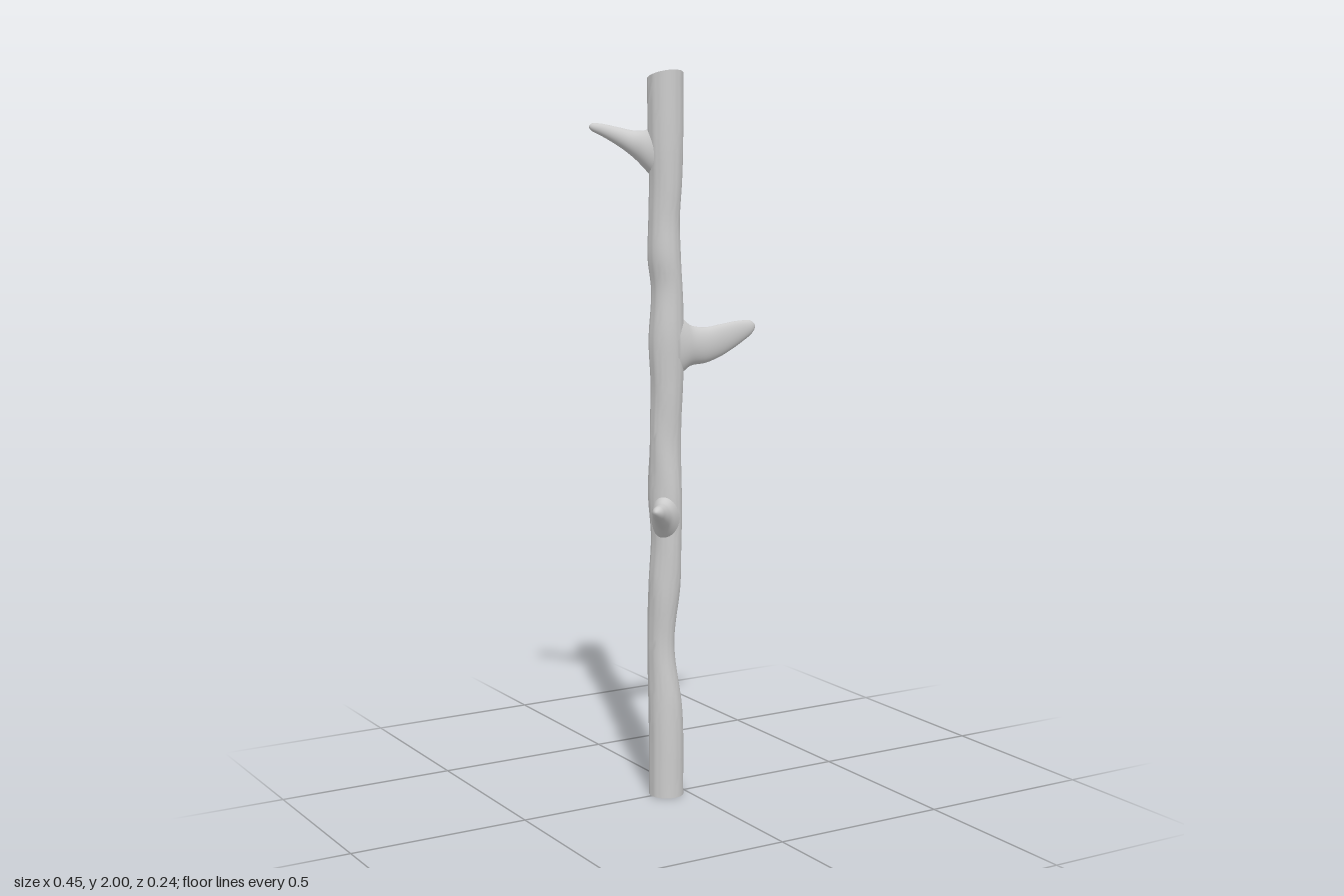
import * as THREE from 'three';
import { toCreasedNormals } from 'three/addons/utils/BufferGeometryUtils.js';

const SIDES = 40;
const material = new THREE.MeshStandardMaterial({ color: 0xcccccc });

// Smooth interpolation through rows of [key, ...values]
function smoothRows(rows) {
  const size = rows[0].length - 1;
  const keys = rows.map((r) => r[0]);
  const values = rows.flatMap((r) => r.slice(1));
  const curve = new THREE.CubicInterpolant(keys, values, size, new Float32Array(size));
  return (k) => Array.from(curve.evaluate(k));
}

// Closed, capped skin over rings; ringPoint(i, angle) gives a Vector3
function loft(steps, ringPoint) {
  const pos = [], index = [];
  const centres = [];
  for (let i = 0; i <= steps; i++) {
    const centre = new THREE.Vector3();
    for (let j = 0; j < SIDES; j++) {
      const p = ringPoint(i, (j / SIDES) * Math.PI * 2);
      pos.push(p.x, p.y, p.z);
      centre.addScaledVector(p, 1 / SIDES);
    }
    centres.push(centre);
  }
  const first = pos.length / 3, last = first + 1;
  pos.push(...centres[0].toArray(), ...centres[steps].toArray());
  for (let j = 0; j < SIDES; j++) {
    const k = (j + 1) % SIDES;
    for (let i = 0; i < steps; i++) {
      const a = i * SIDES, b = a + SIDES;
      index.push(a + j, a + k, b + k, a + j, b + k, b + j);
    }
    index.push(first, k, j, last, steps * SIDES + j, steps * SIDES + k);
  }
  const geometry = new THREE.BufferGeometry();
  geometry.setAttribute('position', new THREE.Float32BufferAttribute(pos, 3));
  geometry.setIndex(index);
  geometry.computeVertexNormals();
  return geometry;
}

// Trunk: ellipses fitted between left, right, back and front edges, slanted cut on top
function trunkGeometry() {
  const edges = smoothRows([
    // y, xMin, xMax, zMin, zMax
    [0, -0.105, -0.01, -0.049, 0.05],
    [0.25, -0.104, -0.012, -0.053, 0.047],
    [0.43, -0.104, -0.033, -0.052, 0.033],
    [0.6, -0.104, -0.018, -0.05, 0.045],
    [0.73, -0.097, -0.016, -0.045, 0.048],
    [0.84, -0.1, -0.012, -0.06, 0.047],
    [1.0, -0.1, -0.014, -0.046, 0.039],
    [1.15, -0.098, -0.01, -0.045, 0.046],
    [1.28, -0.104, -0.008, -0.046, 0.05],
    [1.42, -0.096, -0.013, -0.046, 0.047],
    [1.5, -0.106, -0.017, -0.047, 0.048],
    [1.6, -0.103, -0.02, -0.046, 0.045],
    [1.7, -0.101, -0.014, -0.046, 0.048],
    [1.8, -0.104, -0.011, -0.048, 0.05],
    [1.985, -0.105, -0.008, -0.052, 0.048],
  ]);
  const steps = 110;
  const geometry = loft(steps, (i, a) => {
    const y = (1.985 * i) / steps;
    const [x0, x1, z0, z1] = edges(y);
    // faint bark waviness, fading out at both ends
    const wave = 1 + 0.02 * Math.sin(Math.PI * y / 1.985) * Math.sin(2 * a + 9 * y) * Math.sin(23 * y + a);
    const x = (x0 + x1) / 2 + Math.sin(a) * wave * (x1 - x0) / 2;
    const z = (z0 + z1) / 2 + Math.cos(a) * wave * (z1 - z0) / 2;
    const slant = Math.max(0, (y - 1.8) / 0.185) * 0.3 * z;
    return new THREE.Vector3(x, y + slant, z);
  });
  return toCreasedNormals(geometry, 0.8);
}

// Branch: upright ellipses along a path, flared at the root and rounded at the tip
function branchGeometry(rows) {
  const n = rows.length - 1;
  const at = smoothRows(rows.map((r, i) => [i / n, ...r]));
  const forward = new THREE.Vector3(rows[n][0] - rows[0][0], 0, rows[n][2] - rows[0][2]).normalize();
  const up = new THREE.Vector3(0, 1, 0);
  const side = forward.clone().cross(up);
  const steps = 40, round = 1 - 1 / n;
  return loft(steps, (i, a) => {
    const t = 1 - Math.pow(1 - i / steps, 1.6);
    const [x, y, z, high, wide] = at(t);
    const u = Math.max(0, (t - round) * n);
    const taper = Math.sqrt(Math.max(0.0001, 1 - u * u));
    return new THREE.Vector3(x, y, z)
      .addScaledVector(up, Math.cos(a) * high * taper)
      .addScaledVector(side, Math.sin(a) * wide * taper);
  });
}

// Rows: x, y, z, half height, half width
const branches = {
  middleBranch: [
    [-0.045, 1.262, 0.004, 0.105, 0.046],
    [-0.012, 1.262, 0.009, 0.074, 0.038],
    [0.015, 1.26, 0.012, 0.055, 0.031],
    [0.06, 1.259, 0.015, 0.049, 0.024],
    [0.11, 1.27, 0.015, 0.044, 0.019],
    [0.16, 1.285, 0.013, 0.035, 0.016],
    [0.2, 1.297, 0.011, 0.024, 0.013],
    [0.224, 1.303, 0.011, 0.016, 0.011],
  ],
  upperTwig: [
    [-0.065, 1.775, -0.01, 0.085, 0.045],
    [-0.096, 1.787, -0.034, 0.055, 0.039],
    [-0.122, 1.803, -0.055, 0.037, 0.029],
    [-0.155, 1.822, -0.076, 0.026, 0.021],
    [-0.19, 1.839, -0.097, 0.018, 0.015],
    [-0.212, 1.847, -0.11, 0.013, 0.012],
    [-0.226, 1.85, -0.117, 0.01, 0.01],
  ],
  lowerTwig: [
    [-0.06, 0.79, 0.008, 0.085, 0.042],
    [-0.085, 0.795, 0.036, 0.055, 0.034],
    [-0.102, 0.803, 0.056, 0.037, 0.027],
    [-0.12, 0.812, 0.077, 0.028, 0.022],
    [-0.138, 0.821, 0.097, 0.02, 0.017],
    [-0.156, 0.828, 0.115, 0.013, 0.013],
  ],
};

export function createModel() {
  const group = new THREE.Group();
  group.name = 'branchedStick';
  const add = (name, geometry) => {
    const mesh = new THREE.Mesh(geometry, material);
    mesh.name = name;
    group.add(mesh);
  };
  add('trunk', trunkGeometry());
  for (const [name, rows] of Object.entries(branches)) add(name, branchGeometry(rows));
  return group;
}
